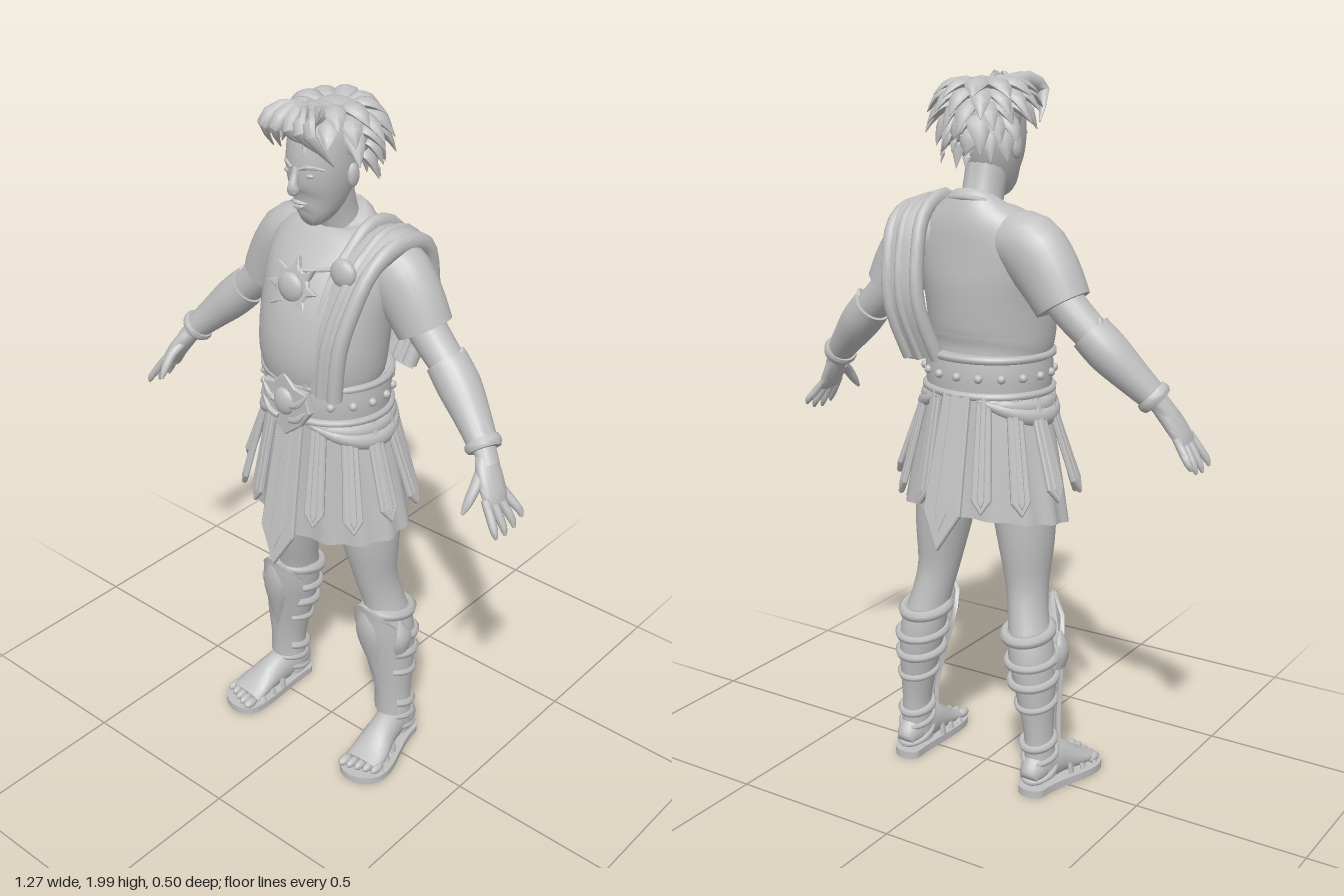
import * as THREE from 'three';
import { toCreasedNormals } from 'three/addons/utils/BufferGeometryUtils.js';

const V = (x, y, z) => new THREE.Vector3(x, y, z);
const X = V(1, 0, 0), Y = V(0, 1, 0), Z = V(0, 0, 1);
const clay = new THREE.MeshStandardMaterial({ color: 0xc0c0c0 });
clay.name = 'clay grey';

// Skin between rings of points, with optional flat ends
function loft(rings, caps = true) {
  const n = rings[0].length, pos = [], idx = [];
  rings.forEach(r => r.forEach(p => pos.push(p.x, p.y, p.z)));
  for (let i = 0; i < rings.length - 1; i++) for (let j = 0; j < n; j++) {
    const a = i * n + j, b = i * n + (j + 1) % n;
    idx.push(a, b, a + n, b, b + n, a + n);
  }
  if (caps) [0, rings.length - 1].forEach((r, end) => {
    const c = rings[r].reduce((s, p) => s.add(p), V(0, 0, 0)).divideScalar(n), k = pos.length / 3;
    pos.push(c.x, c.y, c.z);
    for (let j = 0; j < n; j++) {
      const a = r * n + j, b = r * n + (j + 1) % n;
      end ? idx.push(k, a, b) : idx.push(k, b, a);
    }
  });
  const g = new THREE.BufferGeometry();
  g.setAttribute('position', new THREE.Float32BufferAttribute(pos, 3));
  g.setIndex(idx);
  return toCreasedNormals(g, 1.0);
}

// Smooth elliptical limb through stations [x, y, z, radius across, radius along ref]
function limb(st, ref = Z, n = 18, sub = 3) {
  const at = (i, t, k) => {
    const q = j => st[Math.max(0, Math.min(st.length - 1, j))][k];
    const a = q(i - 1), b = q(i), c = q(i + 1), d = q(i + 2);
    return 0.5 * (2 * b + (c - a) * t + (2 * a - 5 * b + 4 * c - d) * t * t + (3 * b - a - 3 * c + d) * t * t * t);
  };
  const s = [];
  for (let i = 0; i < st.length - 1; i++) for (let k = 0; k < sub; k++) s.push([0, 1, 2, 3, 4].map(c => at(i, k / sub, c)));
  s.push(st[st.length - 1]);
  return loft(s.map((q, i) => {
    const a = s[Math.max(0, i - 1)], b = s[Math.min(s.length - 1, i + 1)];
    const t = V(b[0] - a[0], b[1] - a[1], b[2] - a[2]).normalize();
    const v = ref.clone().addScaledVector(t, -ref.dot(t)).normalize(), u = v.clone().cross(t);
    return Array.from({ length: n }, (_, j) => {
      const w = j / n * Math.PI * 2;
      return V(q[0], q[1], q[2]).addScaledVector(u, Math.cos(w) * Math.max(q[3], 0.001)).addScaledVector(v, Math.sin(w) * Math.max(q[4], 0.001));
    });
  }));
}

// Curved plate round a vertical axis; rows are [y, cx, cz, rx, rz, half angle], bottom to top
function shell(rows, thick, n = 14) {
  return loft(rows.map(([y, cx, cz, rx, rz, h]) => Array.from({ length: n * 2 }, (_, j) => {
    const out = j < n, k = out ? j : n * 2 - 1 - j, a = (k / (n - 1) * 2 - 1) * h, d = out ? thick : 0;
    return V(cx + (rx + d) * Math.sin(a), y, cz + (rz + d) * Math.cos(a));
  })));
}

// Round cord along an ellipse
function hoop(x, y, z, rx, rz, r, tilt = 0) {
  const pts = Array.from({ length: 24 }, (_, i) => {
    const a = i / 24 * Math.PI * 2;
    return V(x + rx * Math.sin(a), y + tilt * Math.cos(a), z + rz * Math.cos(a));
  });
  return new THREE.TubeGeometry(new THREE.CatmullRomCurve3(pts, true), 36, r, 6, true);
}

const plate = (pts, depth, bevel = 0.004) => new THREE.ExtrudeGeometry(
  new THREE.Shape(pts.map(p => new THREE.Vector2(p[0], p[1]))),
  { depth, bevelEnabled: true, bevelThickness: bevel, bevelSize: bevel, bevelSegments: 1 });

export function createModel() {
  const model = new THREE.Group();
  const add = (name, geo, x = 0, y = 0, z = 0, parent = model) => {
    const m = new THREE.Mesh(geo, clay);
    m.name = name;
    m.position.set(x, y, z);
    parent.add(m);
    return m;
  };
  const ball = (name, x, y, z, rx, ry, rz) => add(name, new THREE.SphereGeometry(1, 14, 10), x, y, z).scale.set(rx, ry, rz);

  // Tunic body and neck
  add('tunic', limb([[0, 1.1, .01, .172, .142], [0, 1.22, .015, .165, .143], [0, 1.27, .025, .176, .157], [0, 1.33, .03, .182, .164],
    [0, 1.42, .016, .186, .16], [0, 1.5, -.005, .195, .145], [0, 1.57, -.028, .195, .117], [0, 1.62, -.042, .16, .095],
    [0, 1.655, -.045, .1, .075], [0, 1.67, -.04, .068, .062]], Z, 32));
  add('neck', limb([[0, 1.6, -.045, .068, .065], [0, 1.67, -.02, .056, .06], [0, 1.76, .01, .058, .065]]));
  add('collar', hoop(0, 1.645, -.03, .085, .08, .009, -.03));

  // Head and face
  add('head', limb([[0, 1.683, .095, .02, .022], [0, 1.695, .08, .042, .046], [0, 1.735, .052, .064, .08], [0, 1.79, .037, .079, .1],
    [0, 1.85, .03, .084, .105], [0, 1.91, .02, .08, .1], [0, 1.95, .01, .055, .075], [0, 1.968, .005, .02, .025]], Z, 24));
  add('nose', limb([[0, 1.835, .13, .009, .006], [0, 1.795, .142, .011, .014], [0, 1.775, .142, .016, .017], [0, 1.765, .135, .008, .006]], Z, 10));
  add('upperLip', limb([[-.025, 1.738, .121, .003, .003], [0, 1.742, .132, .006, .006], [.025, 1.738, .121, .003, .003]], Z, 8));
  add('lowerLip', limb([[-.02, 1.733, .122, .003, .003], [0, 1.728, .13, .006, .006], [.02, 1.733, .122, .003, .003]], Z, 8));
  for (const s of [-1, 1]) {
    ball('eye', s * .034, 1.815, .121, .014, .007, .009);
    add('brow', limb([[s * .012, 1.83, .134, .004, .004], [s * .036, 1.838, .126, .006, .006], [s * .065, 1.83, .098, .003, .003]], Z, 8));
    ball('ear', s * .085, 1.8, .015, .012, .032, .02);
  }

  // Hair: cap and tousled pointed locks
  ball('hairCap', 0, 1.885, -.01, .098, .09, .108);
  let seed = 7;
  const rnd = () => (seed = seed * 16807 % 2147483647) / 2147483647;
  const lock = (a, el, len, w, drop) => {
    const p = V(Math.sin(a) * Math.cos(el) * .09, 1.885 + Math.sin(el) * .08, -.01 + Math.cos(a) * Math.cos(el) * .1);
    const sw = (rnd() - .5) * .7, d = V(Math.sin(a + sw), 0, Math.cos(a + sw));
    const q = (k, out, dy, r) => [p.x + d.x * out * len, p.y + dy, p.z + d.z * out * len, r * w, r * w * .5];
    const up = Math.max(0, Math.sin(el)) * .03;
    add('hairLock', limb([q(0, -.2, 0, .7), q(1, .15, up * .6, 1), q(2, .5, up * .5 - drop * .35, .8), q(3, .8, -drop, .04)], V(-d.x * .3, 1, -d.z * .3), 8, 2));
  };
  [[.95, 9, .085, .02], [.6, 13, .085, .045], [.25, 15, .07, .06], [-.15, 15, .055, .07], [-.6, 13, .045, .075]].forEach(([el, count, len, drop], row) => {
    for (let i = 0; i < count; i++) {
      const a = (i + (row % 2) * .5) / count * Math.PI * 2, front = Math.cos(a);
      if ((row > 1 && front > .55) || (row > 2 && front > .1)) continue;
      lock(a, el, len * (.85 + rnd() * .4) + (front > .5 ? .015 : 0), .024 + rnd() * .01, drop * (.7 + rnd() * .5));
    }
  });
  for (const [x, tx, ty] of [[-.05, -.1, 1.86], [-.02, -.06, 1.87], [.02, .06, 1.88], [.05, .1, 1.85], [-.01, .02, 1.9]])
    add('fringeLock', limb([[x * .5, 1.955, .05, .02, .015], [x, 1.965, .125, .026, .016], [(x + tx) / 2, 1.935, .165, .02, .011], [tx, ty, .145 - Math.abs(tx) * .4, .002, .002]], Z, 8, 2));

  // Belt with rims, studs and buckle
  add('belt', limb([[0, 1.15, .012, .178, .158], [0, 1.2, .014, .182, .162], [0, 1.255, .016, .178, .158]], Z, 36));
  for (const y of [1.15, 1.25]) add('beltRim', hoop(0, y, .014, .181, .161, .011));
  for (let i = 2; i < 17; i++) {
    const a = i / 18 * Math.PI * 2;
    ball('beltStud', .183 * Math.sin(a), 1.2, .014 + .163 * Math.cos(a), .012, .012, .012);
  }
  add('buckle', plate([[0, 1.1], [.05, 1.14], [.085, 1.19], [.07, 1.24], [.035, 1.245], [0, 1.28], [-.035, 1.245], [-.07, 1.24], [-.085, 1.19], [-.05, 1.14]], .015), 0, 0, .172);
  ball('buckleBoss', 0, 1.2, .19, .034, .04, .018);
  for (const s of [-1, 1]) for (const y of [1.15, 1.195])
    add('buckleWing', limb([[s * .02, y, .194, .008, .006], [s * .05, y + .012, .195, .01, .008], [s * .078, y + .045, .188, .002, .002]], Z, 8));

  // Skirt, a hollow pleated bell
  const ringAt = (t, d) => Array.from({ length: 72 }, (_, j) => {
    const a = j / 72 * Math.PI * 2, c = Math.cos(a), f = .007 * t * Math.cos(a * 14) - d;
    const hem = .79 - .025 * c;
    return V((.165 + .082 * t ** .8 + f) * Math.sin(a), 1.17 + (hem - 1.17) * t, .008 - .012 * t + (.145 + .022 * t + f) * c);
  });
  const ts = [0, .25, .5, .75, 1];
  add('skirt', loft([...ts.map(t => ringAt(t, .01)), ...ts.slice().reverse().map(t => ringAt(t, 0))], false));

  // Hanging straps with pointed tips
  const strap = (name, a, len, w, flare, tip) => {
    const top = V(.168 * Math.sin(a), 1.15, .008 + .15 * Math.cos(a));
    const nrm = V(Math.sin(a) / .18, 0, Math.cos(a) / .15).normalize();
    const down = nrm.clone().multiplyScalar(flare).add(V(0, -len, 0)).normalize(), L = Math.hypot(len, flare);
    const side = Y.clone().cross(nrm).normalize(), up = down.clone().negate(), out = side.clone().cross(up);
    const g = new THREE.Group();
    g.name = name;
    g.applyMatrix4(new THREE.Matrix4().makeBasis(side, up, out).setPosition(top));
    add('strapPlate', plate([[-w * .7, 0], [-w, -L + tip], [0, -L], [w, -L + tip], [w * .7, 0]], .008), 0, 0, 0, g);
    add('strapRidge', plate([[-w * .2, 0], [-w * .3, -L + tip], [0, -L + tip * .5], [w * .3, -L + tip], [w * .2, 0]], .012, .003), 0, 0, 0, g);
    model.add(g);
  };
  for (const s of [-1, 1]) [[.5, .3, .06], [.98, .31, .08], [1.38, .28, .1], [1.8, .28, .1], [2.2, .31, .08], [2.68, .31, .055]]
    .forEach(([a, len, fl]) => strap('strap', s * a, len, .024, fl, .035));
  strap('frontStrap', 0, .445, .055, .08, .1);
  strap('backStrap', Math.PI, .41, .055, .1, .1);

  // Cloth swags under the belt
  for (const s of [-1, 1]) for (const k of [0, 1])
    add('swag', limb(Array.from({ length: 9 }, (_, i) => {
      const a = .3 + i / 8 * 2.5, h = Math.sin(i / 8 * Math.PI);
      return [s * (.178 + .012 * k) * Math.sin(a), 1.14 - h * (.025 + .03 * k), .01 + .16 * Math.cos(a), .006 + .012 * h, .008 + .018 * h];
    }), Y, 10));

  // Shoulder sash with folds, clasp and sun medallion
  for (const [dx, w, t] of [[0, .062, .016], [-.045, .018, .022], [.045, .02, .024], [.005, .016, .024]])
    add('sashFold', limb([[.1 + dx, 1.24, .155, t, w], [.112 + dx, 1.38, .152, t, w], [.13 + dx, 1.5, .115, t, w], [.145 + dx, 1.59, .06, t, w],
      [.16 + dx, 1.645 - dx * .35, -.03, t * 1.2, w], [.162 + dx, 1.61 - dx * .2, -.13, t, w], [.155 + dx, 1.5, -.172, t, w], [.145 + dx, 1.38, -.178, t, w], [.12 + dx, 1.24, -.13, t, w]], X, 12));
  ball('clasp', .125, 1.572, .098, .04, .04, .022);
  const sun = Array.from({ length: 32 }, (_, i) => {
    const a = i / 32 * Math.PI * 2, r = i % 4 ? .05 : .078;
    return [r * Math.sin(a), r * Math.cos(a)];
  });
  add('medallion', plate(sun, .01), -.005, 1.51, .138).rotation.x = -.3;
  ball('medallionBoss', -.005, 1.515, .152, .042, .042, .02);
  add('medallionCord', limb([[.1, 1.575, .09, .006, .006], [.05, 1.565, .115, .006, .006], [.01, 1.56, .13, .006, .006]], Z, 8));

  for (const s of [-1, 1]) {
    const L = (st, ref, n) => limb(st.map(q => [s * q[0], ...q.slice(1)]), ref, n);
    // Arm, sleeve and bracer
    add('sleeve', L([[.08, 1.57, -.045, .07, .07], [.165, 1.55, -.05, .094, .082], [.225, 1.485, -.053, .09, .078], [.272, 1.41, -.055, .077, .073]], Z, 24));
    add('arm', L([[.2, 1.5, -.055, .055, .055], [.29, 1.4, -.052, .052, .052], [.365, 1.33, -.045, .047, .048], [.43, 1.265, -.03, .044, .045], [.515, 1.18, .005, .028, .033], [.545, 1.14, .02, .026, .033]], Z));
    add('bracer', L([[.35, 1.345, -.048, .056, .058], [.4, 1.295, -.038, .057, .06], [.46, 1.235, -.018, .047, .05], [.51, 1.185, .002, .038, .042]], Z, 20));
    add('bracerPoint', L([[.49, 1.215, -.015, .03, .02], [.435, 1.285, -.04, .026, .04], [.395, 1.34, -.055, .02, .04], [.385, 1.39, -.065, .003, .004]], Z, 10));
    add('bracerBand', L([[.503, 1.192, 0, .045, .047], [.512, 1.183, .003, .049, .051], [.521, 1.173, .007, .043, .046]], Z));
    // Hand and fingers
    add('palm', L([[.525, 1.165, .01, .024, .03], [.552, 1.125, .028, .024, .042], [.58, 1.08, .04, .02, .044], [.592, 1.06, .043, .014, .04]], Z));
    [[.0, -.022, .6], [.025, .01, .9], [.05, .048, 1], [.075, .088, .85]].forEach(([z, ez, l]) =>
      add('finger', L([[.58, 1.08, z + .004, .011, .012], [.605, 1.06 - .02 * l, (z + ez) / 2 + .006, .012, .012], [.625, 1.05 - .045 * l, ez + .008, .01, .01], [.633, 1.04 - .055 * l, ez + .01, .004, .004]], Z, 8)));
    add('thumb', L([[.54, 1.13, .045, .016, .016], [.548, 1.105, .08, .015, .015], [.548, 1.07, .11, .012, .012], [.545, 1.045, .128, .004, .004]], X, 10));

    // Leg
    add('leg', L([[.215, .04, -.05, .045, .055], [.214, .11, -.052, .041, .05], [.21, .19, -.055, .041, .05], [.2, .3, -.055, .054, .065], [.185, .41, -.055, .063, .072],
      [.165, .51, -.04, .055, .064], [.15, .6, -.022, .058, .068], [.14, .72, -.012, .075, .09], [.125, .85, -.005, .088, .105], [.11, .98, 0, .09, .11]], Z, 22));
    // Greave: pointed front plate, knee guard and calf wraps
    add('greavePlate', shell([[.13, s * .212, -.05, .046, .055, .9], [.2, s * .21, -.052, .047, .057, .8], [.3, s * .2, -.05, .06, .072, .75], [.4, s * .187, -.045, .068, .088, 1.1],
      [.46, s * .18, -.035, .07, .092, 1.15], [.5, s * .178, -.028, .068, .088, .75], [.55, s * .178, -.01, .06, .078, .08]], .012));
    add('kneeGuard', L([[.2, .26, .018, .008, .01], [.192, .34, .032, .026, .016], [.185, .42, .05, .038, .02], [.18, .48, .062, .03, .016], [.178, .555, .07, .003, .004]], Z, 10));
    for (const [x, y, r, t] of [[.174, .475, .062, .017], [.187, .4, .067, .012], [.192, .34, .062, .013], [.202, .27, .052, .01], [.21, .15, .044, .012]])
      add('calfWrap', hoop(s * x, y, -.055, r, r * 1.12, t, .012));
    add('greaveWing', L([[.255, .37, -.02, .012, .03], [.262, .42, -.015, .014, .035], [.25, .475, -.01, .004, .006]], Z, 10));

    // Sandal sole, foot, toes and straps
    const sole = new THREE.Shape();
    sole.moveTo(s * .175, -.1);
    sole.bezierCurveTo(s * .18, -.135, s * .25, -.135, s * .256, -.1);
    sole.bezierCurveTo(s * .265, 0, s * .32, .06, s * .312, .13);
    sole.bezierCurveTo(s * .3, .2, s * .19, .22, s * .172, .15);
    sole.bezierCurveTo(s * .16, .08, s * .18, 0, s * .175, -.1);
    add('sole', new THREE.ExtrudeGeometry(sole, { depth: .022, bevelEnabled: false, curveSegments: 10 }), 0, .022, 0).rotation.x = Math.PI / 2;
    add('foot', L([[.215, .05, -.112, .025, .025], [.215, .065, -.09, .038, .045], [.216, .075, -.04, .042, .06], [.224, .066, .03, .047, .05], [.235, .045, .095, .058, .028], [.238, .035, .14, .058, .016]], Y, 18));
    for (let i = 0; i < 5; i++) ball('toe', s * (.194 + i * .024), .034, .165 - i * .009 - (i === 0 ? .003 : 0), i ? .012 : .015, .014, .026);
    for (const [z, y, w, x] of [[.12, .026, .064, .237], [.075, .035, .056, .231], [.03, .05, .05, .224]])
      add('sandalStrap', L([[x - w, .022, z, .005, .011], [x - w * .75, y + .014, z, .006, .012], [x, y + .062 - (z > .1 ? .022 : z > .05 ? .01 : 0) - .012, z - .006, .007, .013], [x + w * .75, y + .014, z, .006, .012], [x + w, .022, z, .005, .011]], Z, 8));
    add('ankleStrap', hoop(s * .214, .105, -.05, .044, .055, .009, .012));
    add('heelStrap', hoop(s * .215, .06, -.055, .044, .058, .008, .02));
  }
  return model;
}
